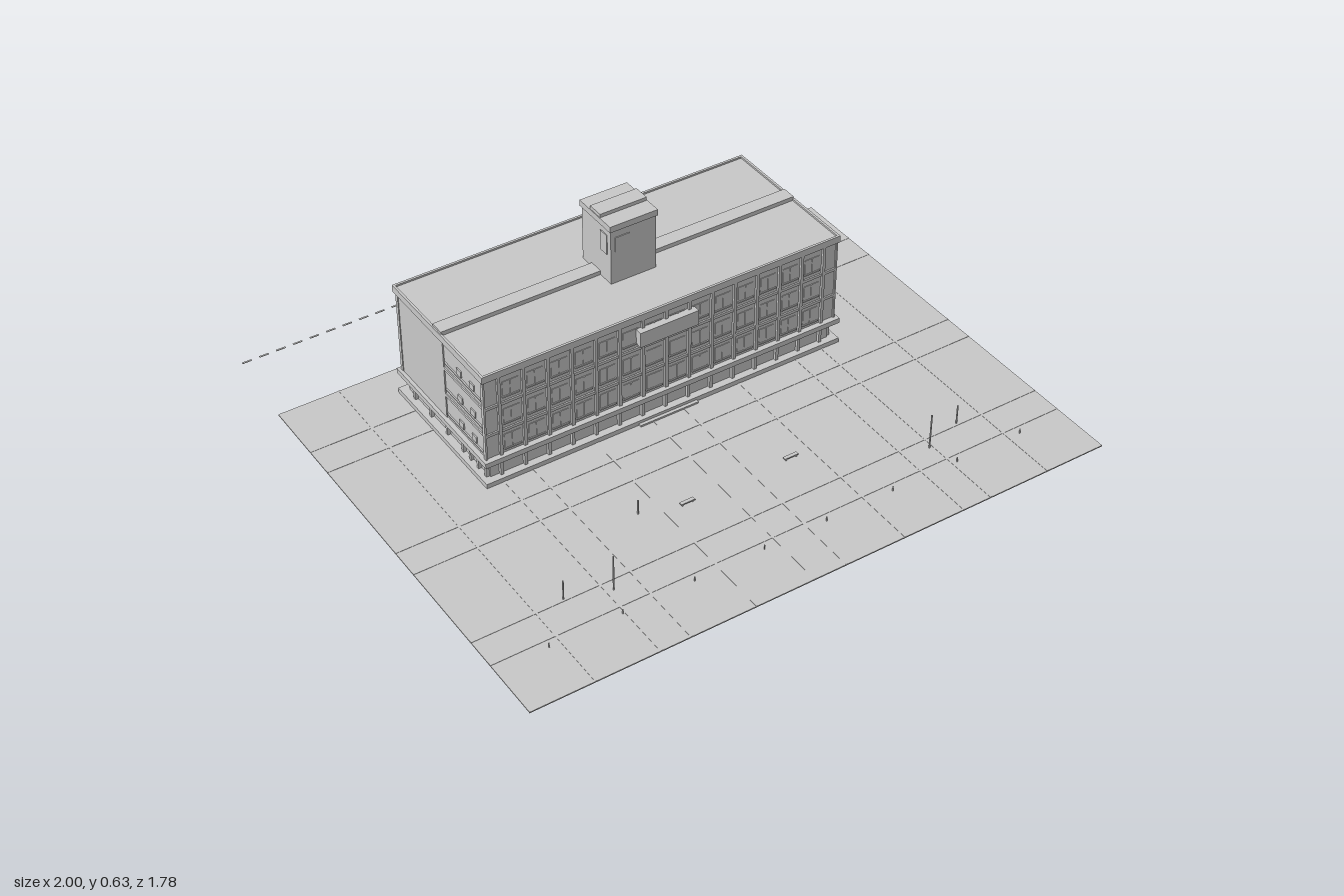
import * as THREE from 'three';

export function createModel() {
  const model = new THREE.Group();
  const grey = new THREE.MeshStandardMaterial({ color: 0xc8c8c8 });
  grey.name = 'plain grey';

  // Box given by its minimum and maximum on each axis
  const box = (name, x0, x1, y0, y1, z0, z1, parent = model) => {
    const mesh = new THREE.Mesh(new THREE.BoxGeometry(x1 - x0, y1 - y0, z1 - z0), grey);
    mesh.position.set((x0 + x1) / 2, (y0 + y1) / 2, (z0 + z1) / 2);
    mesh.name = name;
    parent.add(mesh);
    return mesh;
  };
  const group = (name) => {
    const g = new THREE.Group();
    g.name = name;
    model.add(g);
    return g;
  };

  // Plaza slab with thin paving joints
  box('plaza', -1, 1, 0, 0.004, -0.6, 0.885);
  const paving = group('pavingStrips');
  for (const x of [-0.79, -0.58, -0.48, -0.26, -0.06, 0.05, 0.26, 0.475, 0.575, 0.79])
    box('pavingStrip', x - 0.004, x + 0.004, 0.003, 0.005, -0.6, 0.885, paving);
  for (const z of [-0.39, -0.28, 0.14, 0.245, 0.57, 0.675])
    box('pavingStrip', -1, 1, 0.003, 0.005, z - 0.004, z + 0.004, paving);

  // Road marking behind the plaza
  const road = group('roadMarking');
  for (let i = 0; i < 33; i++) {
    const x = -0.98 + i * 0.0587;
    box('roadDash', x, x + 0.032, 0, 0.002, -0.893, -0.887, road);
  }

  // Stacked masses of the building
  box('plinth', -0.642, 0.638, 0, 0.02, -0.495, 0.045);
  box('groundFloor', -0.615, 0.61, 0.02, 0.08, -0.47, 0.02);
  box('canopyLedge', -0.642, 0.638, 0.08, 0.098, -0.495, 0.045);
  box('upperFloors', -0.626, 0.622, 0.098, 0.39, -0.48, 0.026);
  box('cornice', -0.636, 0.632, 0.388, 0.406, -0.495, 0.036);
  box('roofRidge', -0.632, 0.628, 0.4, 0.42, -0.255, -0.205);

  // Low parapet around the roof
  const parapet = group('parapet');
  for (const [a, b] of [[-0.495, -0.487], [0.028, 0.036]])
    box('longParapet', -0.636, 0.632, 0.4, 0.412, a, b, parapet);
  for (const [a, b] of [[-0.636, -0.628], [0.624, 0.632]])
    box('endParapet', a, b, 0.4, 0.412, -0.495, 0.036, parapet);

  // Floor bands wrapping the walls
  for (const y of [0.185, 0.285])
    box('floorBand', -0.63, 0.626, y - 0.005, y + 0.005, -0.485, 0.031);

  // Front and back facades: pilasters, windows and ground floor columns
  const floors = [0.14, 0.235, 0.335];
  const facades = group('longFacades');
  const step = 0.0825;
  for (const [wall, out] of [[0.026, 1], [-0.48, -1]]) {
    const slab = (name, x0, x1, y0, y1, depth, from = wall) =>
      box(name, x0, x1, y0, y1, Math.min(from, from + out * depth), Math.max(from, from + out * depth), facades);
    for (let i = -7; i <= 7; i++) {
      const x = i * step - 0.002;
      slab('pilaster', x - 0.005, x + 0.005, 0.098, 0.39, 0.008);
      slab('groundColumn', x - 0.005, x + 0.005, 0.02, 0.08, 0.012, wall - out * 0.008);
      if (i === 7) continue;
      for (const y of floors) {
        slab('windowPane', x + 0.014, x + step - 0.014, y - 0.026, y + 0.026, 0.002);
        slab('windowSill', x + 0.012, x + step - 0.012, y - 0.031, y - 0.026, 0.005);
        slab('windowMullion', x + step / 2 - 0.002, x + step / 2 + 0.002, y - 0.026, y + 0.026, 0.004);
      }
    }
  }

  // End walls: corner piers, small windows and ground floor columns
  const ends = group('endWalls');
  for (const [wall, out] of [[0.622, 1], [-0.626, -1]]) {
    const slab = (name, y0, y1, z0, z1, depth, from = wall) =>
      box(name, Math.min(from, from + out * depth), Math.max(from, from + out * depth), y0, y1, z0, z1, ends);
    slab('cornerPier', 0.098, 0.39, 0.018, 0.031, 0.006);
    slab('cornerPier', 0.098, 0.39, -0.485, -0.472, 0.006);
    slab('plainWall', 0.098, 0.39, -0.47, -0.205, 0.004);
    for (const y of floors) {
      slab('endSill', y - 0.027, y - 0.023, -0.2, 0.015, 0.005);
      for (const z of [-0.04, -0.115])
        slab('endWindow', y - 0.018, y + 0.004, z - 0.013, z + 0.013, 0.004);
    }
    for (const z of [0.01, -0.035, -0.08, -0.125, -0.22, -0.32, -0.42])
      slab('endColumn', 0.02, 0.08, z - 0.005, z + 0.005, 0.012, wall - out * 0.012);
  }

  // Blank panel and entrance steps on the front
  box('frontPanel', -0.107, 0.1, 0.305, 0.358, 0.026, 0.052);
  box('entranceStep', -0.11, 0.1, 0, 0.01, 0.045, 0.056);

  // Rooftop tower
  const tower = group('tower');
  box('towerShaft', -0.083, 0.077, 0.4, 0.6, -0.306, -0.146, tower);
  box('towerCap', -0.087, 0.081, 0.597, 0.618, -0.312, -0.142, tower);
  box('towerRidge', -0.085, 0.079, 0.615, 0.63, -0.255, -0.2, tower);
  for (const [a, b] of [[-0.146, -0.143], [-0.309, -0.306]])
    box('towerWindow', -0.068, -0.018, 0.52, 0.572, a, b, tower);
  for (const [a, b] of [[-0.086, -0.083], [0.077, 0.08]])
    box('towerWindow', a, b, 0.505, 0.575, -0.2, -0.165, tower);

  // Plaza poles, bollards and benches
  const pole = (name, x, z, height, radius) => {
    const mesh = new THREE.Mesh(new THREE.CylinderGeometry(radius, radius, height, 8), grey);
    mesh.position.set(x, height / 2, z);
    mesh.name = name;
    model.add(mesh);
  };
  for (const s of [-1, 1]) {
    pole('tallPole', s * 0.56, 0.61, 0.13, 0.0025);
    pole('shortPole', s * 0.698, 0.565, 0.074, 0.0025);
    for (const x of [0.11, 0.35, 0.59, 0.83]) pole('bollard', s * x, 0.705, 0.02, 0.002);
    const x = s * 0.185;
    box('benchSeat', x - 0.024, x + 0.024, 0.01, 0.014, 0.414, 0.426);
    for (const dx of [-0.018, 0.018])
      box('benchLeg', x + dx - 0.002, x + dx + 0.002, 0.004, 0.011, 0.416, 0.424);
  }
  pole('signPost', -0.33, 0.38, 0.056, 0.0025);

  return model;
}
